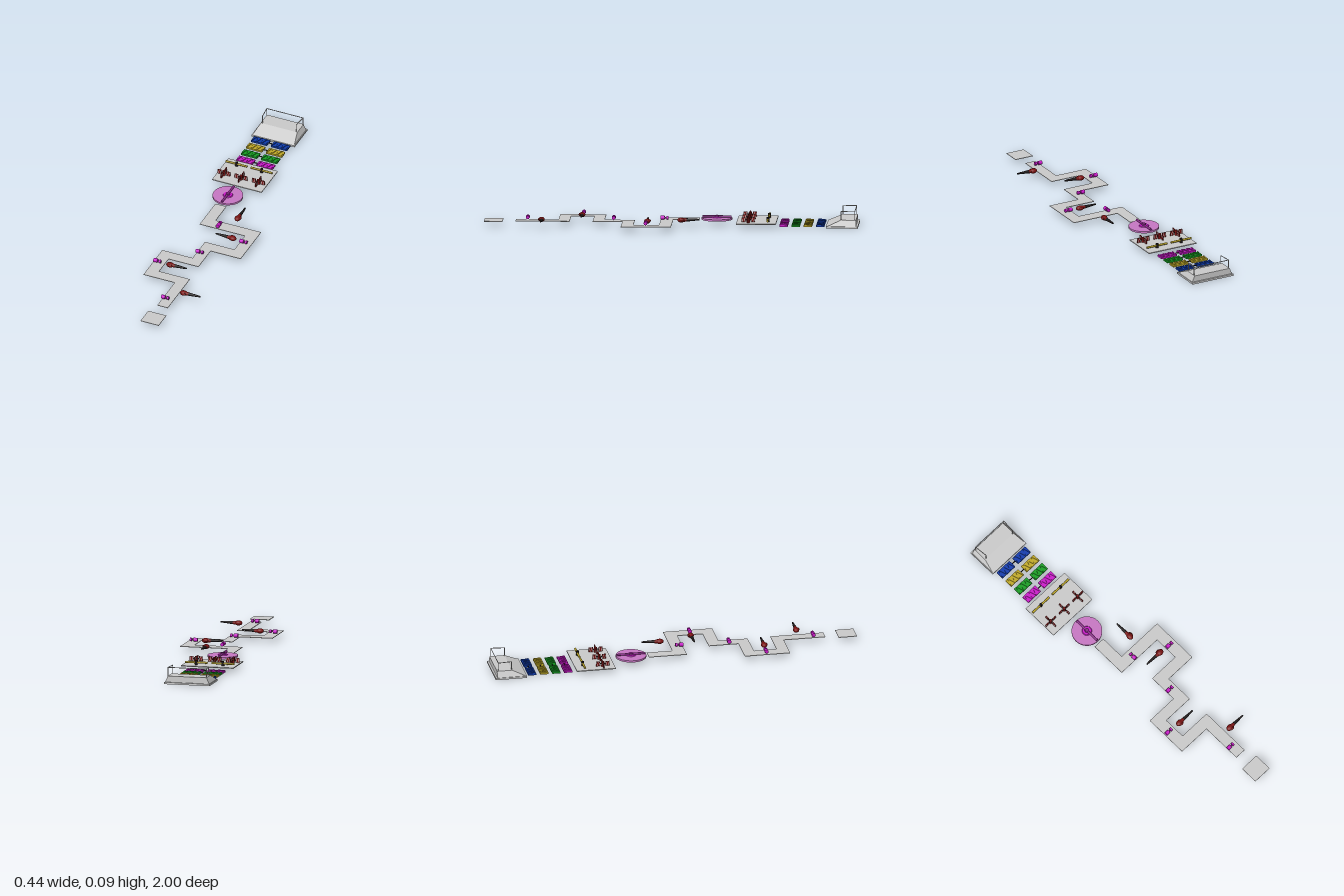
import * as THREE from 'three';

const mat = (color, flat = false) => new THREE.MeshStandardMaterial({ color, flatShading: flat, side: THREE.DoubleSide });
const GREY = mat(0xcccccc), MAGENTA = mat(0xcc18cc), PINK = mat(0xc878c4), PURPLE = mat(0x8c2a8c);
const RED = mat(0x7a1212), DARK = mat(0x1c1616), YELLOW = mat(0xc2ab28), BLUE = mat(0x0f3cb0), GREEN = mat(0x16a022);

function add(parent, name, geo, material, x = 0, y = 0, z = 0) {
  const m = new THREE.Mesh(geo, material);
  m.name = name;
  m.position.set(x, y, z);
  parent.add(m);
  return m;
}

function group(parent, name, x = 0, y = 0, z = 0, turn = 0) {
  const g = new THREE.Group();
  g.name = name;
  g.position.set(x, y, z);
  g.rotation.y = turn;
  parent.add(g);
  return g;
}

// box given by its minimum and maximum corners
function block(parent, name, material, x0, x1, y0, y1, z0, z1) {
  return add(parent, name, new THREE.BoxGeometry(x1 - x0, y1 - y0, z1 - z0), material,
    (x0 + x1) / 2, (y0 + y1) / 2, (z0 + z1) / 2);
}

// round bar between two points
function bar(parent, name, material, a, b, r0, r1 = r0, sides = 8) {
  const p = new THREE.Vector3(...a), q = new THREE.Vector3(...b), d = q.clone().sub(p);
  const m = add(parent, name, new THREE.CylinderGeometry(r1, r0, d.length(), sides), material);
  m.position.copy(p).add(q).multiplyScalar(0.5);
  m.quaternion.setFromUnitVectors(new THREE.Vector3(0, 1, 0), d.normalize());
  return m;
}

// raised start platform: base, sloped ramp, three-sided railing
function startRamp(root) {
  const g = group(root, 'startRamp');
  block(g, 'rampBase', GREY, -0.207, 0.044, 0, 0.01, -1, -0.83);
  const geo = new THREE.BoxGeometry(1, 1, 1), p = geo.attributes.position;
  for (let i = 0; i < p.count; i++) {
    const top = p.getY(i) > 0, right = p.getX(i) > 0, front = p.getZ(i) > 0;
    const x = top ? (right ? 0.026 : -0.188) : (right ? 0.04 : -0.203);
    const z = front ? (top ? -0.908 : -0.835) : -0.99;
    p.setXYZ(i, x, top ? 0.043 : 0.01, z);
  }
  geo.computeVertexNormals();
  add(g, 'rampSlope', geo, GREY);
  const foot = [[-0.179, -0.91], [-0.186, -0.983], [0.026, -0.983], [0.019, -0.91]];
  foot.forEach(([x, z], i) => {
    bar(g, 'railPost', GREY, [x, 0.04, z], [x, 0.09, z], 0.0022);
    if (i < 3) bar(g, 'railBar', GREY, [x, 0.089, z], [foot[i + 1][0], 0.089, foot[i + 1][1]], 0.0022);
  });
}

// paired floating pads with zigzag treads
function stepPads(root) {
  [[BLUE, -0.798], [YELLOW, -0.732], [GREEN, -0.667], [MAGENTA, -0.602]].forEach(([m, z]) => {
    const row = group(root, 'padRow', 0, 0, z);
    for (const cx of [-0.14, -0.023]) {
      block(row, 'pad', m, cx - 0.047, cx + 0.047, 0.004, 0.013, -0.022, 0.022);
      for (let i = 0; i < 6; i++) {
        const t = add(row, 'padTread', new THREE.BoxGeometry(0.005, 0.004, 0.038), m, cx - 0.0375 + i * 0.015, 0.015, 0);
        t.rotation.y = i % 2 ? 0.3 : -0.3;
      }
    }
    bar(row, 'padLink', DARK, [-0.094, 0.01, 0], [-0.07, 0.01, 0], 0.003);
  });
}

// plate with two spinning bars and three four-armed turnstiles
function spinnerPlate(root) {
  const g = group(root, 'spinnerPlate');
  block(g, 'plate', GREY, -0.224, 0.066, 0.02, 0.025, -0.562, -0.35);
  for (const x of [-0.155, -0.008]) {
    const s = group(g, 'spinningBar', x, 0, -0.517);
    bar(s, 'barPost', DARK, [0, 0.025, 0], [0, 0.05, 0], 0.008, 0.007, 12);
    bar(s, 'sweepBar', YELLOW, [-0.062, 0.038, 0], [0.062, 0.038, 0], 0.0055, 0.0055, 10);
  }
  for (const x of [-0.183, -0.082, 0.019]) {
    const t = group(g, 'turnstile', x, 0, -0.413);
    bar(t, 'turnstilePost', RED, [0, 0.025, 0], [0, 0.052, 0], 0.009, 0.008, 12);
    for (let i = 0; i < 4; i++) {
      const arm = group(t, 'turnstileArm', 0, 0.04, 0, i * Math.PI / 2);
      bar(arm, 'armBar', DARK, [0, 0, 0], [0.017, 0, 0], 0.003);
      add(arm, 'armPanel', new THREE.BoxGeometry(0.022, 0.025, 0.005), RED, 0.026, 0, 0);
      for (const k of [-0.006, 0.006]) {
        const stripe = new THREE.Shape([[-0.005, -0.0125], [-0.002, -0.0125], [0.005, 0.0125], [0.002, 0.0125]]
          .map(([a, b]) => new THREE.Vector2(a, b)));
        add(arm, 'armStripe', new THREE.ExtrudeGeometry(stripe, { depth: 0.0056, bevelEnabled: false }), GREY, 0.026 + k, 0, -0.0028);
      }
    }
  }
}

// turning disc with hub and sweep arm
function turntable(root) {
  const g = group(root, 'turntable', -0.082, 0, -0.24);
  add(g, 'disc', new THREE.CylinderGeometry(0.082, 0.082, 0.01, 48), PINK, 0, 0.03, 0);
  add(g, 'hubRing', new THREE.CylinderGeometry(0.024, 0.027, 0.004, 32), MAGENTA, 0, 0.037, 0);
  add(g, 'hub', new THREE.CylinderGeometry(0.011, 0.012, 0.012, 20), PURPLE, 0, 0.042, 0);
  bar(g, 'sweepArm', PURPLE, [0, 0.041, -0.078], [0, 0.041, 0.078], 0.006, 0.006, 10);
}

// winding walkway and the finish pad
function walkway(root) {
  const outline = [[-0.114, -0.148], [-0.05, -0.148], [-0.05, -0.008], [0.216, -0.008], [0.216, 0.26], [0.04, 0.26],
    [0.04, 0.419], [-0.135, 0.419], [-0.135, 0.543], [0.045, 0.543], [0.045, 0.832], [-0.016, 0.832], [-0.016, 0.604],
    [-0.199, 0.604], [-0.199, 0.358], [-0.021, 0.358], [-0.021, 0.196], [0.151, 0.196], [0.151, 0.058], [-0.114, 0.058]];
  const shape = new THREE.Shape(outline.map(([x, z]) => new THREE.Vector2(x, -z)));
  const geo = new THREE.ExtrudeGeometry(shape, { depth: 0.003, bevelEnabled: false });
  geo.rotateX(-Math.PI / 2);
  add(root, 'walkway', geo, GREY, 0, 0.025, 0);
  block(root, 'finishPad', GREY, -0.039, 0.067, 0.025, 0.028, 0.9, 1);
}

// punching glove pointing along -x, with its arm trailing along +x
function glove(root, x, z, turn) {
  const g = group(root, 'punchingGlove', x, 0.042, z, turn);
  const fist = add(g, 'gloveFist', new THREE.SphereGeometry(1, 20, 14), RED);
  fist.scale.set(0.021, 0.0135, 0.0165);
  const thumb = add(g, 'gloveThumb', new THREE.SphereGeometry(1, 14, 10), RED, 0.004, 0.002, 0.013);
  thumb.scale.set(0.014, 0.007, 0.006);
  bar(g, 'gloveCuff', RED, [0.01, 0, 0], [0.032, 0.001, 0], 0.011, 0.0085, 16);
  bar(g, 'gloveArm', DARK, [0.03, 0.001, 0], [0.098, 0.003, 0], 0.009, 0.004, 14);
}

// small launcher: rounded body, stem and striking disc along +x
function launcher(root, x, z, turn = 0) {
  const g = group(root, 'launcher', x, 0.043, z, turn);
  bar(g, 'launcherBody', MAGENTA, [-0.011, 0, 0], [0.011, 0, 0], 0.0105, 0.0105, 16);
  bar(g, 'launcherStem', PURPLE, [0.01, 0, 0], [0.024, 0, 0], 0.004);
  bar(g, 'launcherHead', MAGENTA, [0.021, 0, 0], [0.031, 0, 0], 0.0095, 0.0095, 16);
}

export function createModel() {
  const root = new THREE.Group();
  root.name = 'obstacleCourse';
  startRamp(root);
  stepPads(root);
  spinnerPlate(root);
  turntable(root);
  walkway(root);
  glove(root, 0.058, -0.056, Math.PI / 2);
  glove(root, 0.108, 0.123, Math.PI);
  glove(root, -0.098, 0.482, 0);
  glove(root, 0.075, 0.69, 0);
  launcher(root, -0.01, 0.047, Math.PI / 2);
  launcher(root, 0.164, 0.128);
  launcher(root, -0.012, 0.308);
  launcher(root, -0.184, 0.477);
  launcher(root, -0.008, 0.768);
  return root;
}
